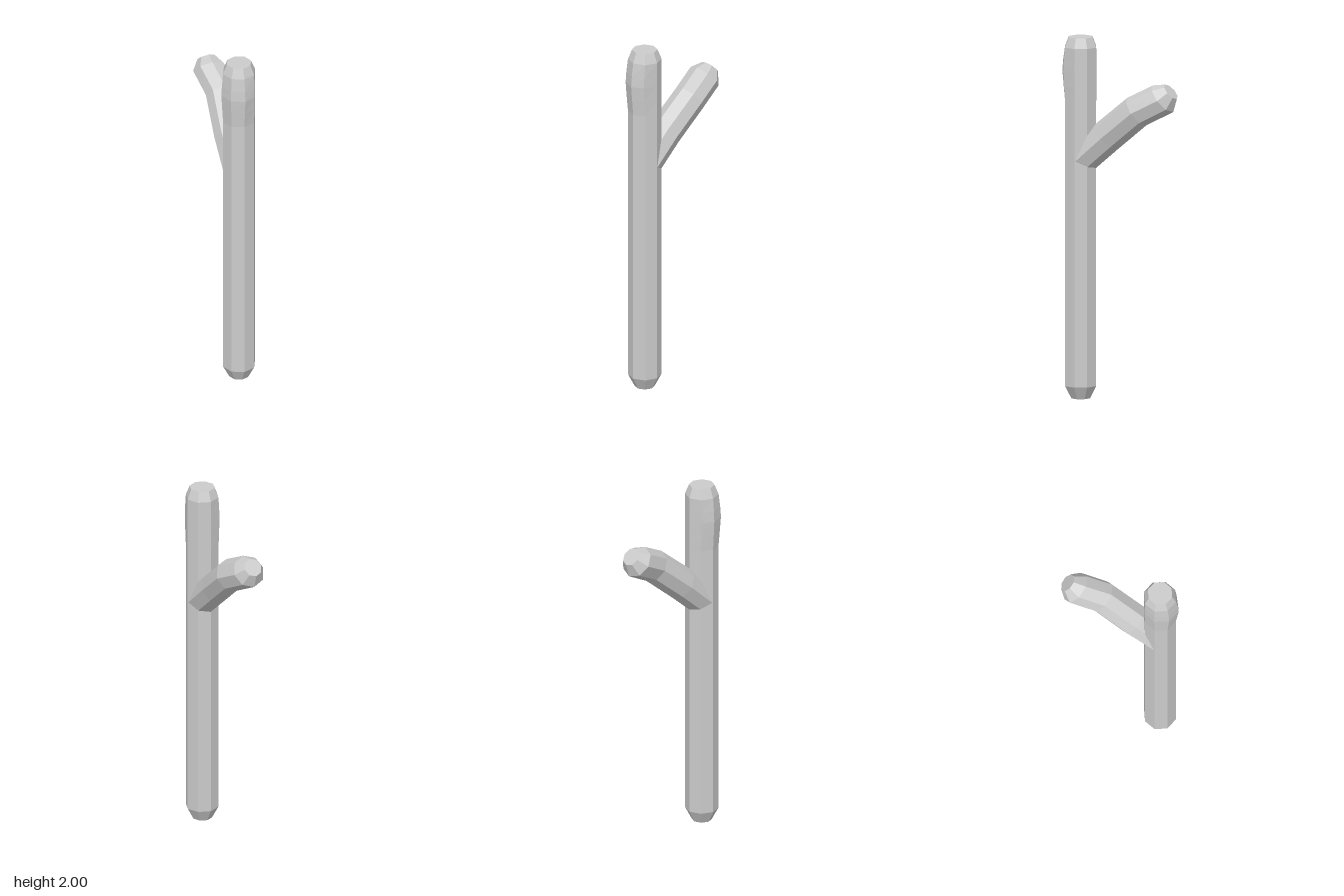
import * as THREE from 'three';

const SIDES = 8;

// Lofts flat-shaded, capped octagonal rings.
// ring = { x, y, z, r, tilt (lean towards -z), bulge (push towards front and -x) }
function loft(name, rings, material) {
  const points = rings.map(({ x, y, z, r, tilt = 0, bulge = 0 }) =>
    Array.from({ length: SIDES }, (_, i) => {
      const a = (i / SIDES) * Math.PI * 2;
      const c = Math.cos(a), s = Math.sin(a);
      return new THREE.Vector3(
        x + r * c - 0.6 * bulge * Math.max(0, -c),
        y - r * s * Math.sin(tilt),
        z - r * s * Math.cos(tilt) + bulge * Math.max(0, -s)
      );
    })
  );
  const centres = rings.map((k) => new THREE.Vector3(k.x, k.y, k.z));
  const last = rings.length - 1;
  const tris = [];
  for (let i = 0; i < SIDES; i++) {
    const j = (i + 1) % SIDES;
    for (let k = 0; k < last; k++) {
      const [a, b] = [points[k][i], points[k][j]];
      const [c, d] = [points[k + 1][j], points[k + 1][i]];
      tris.push(a, b, c, a, c, d);
    }
    tris.push(centres[0], points[0][j], points[0][i]);
    tris.push(centres[last], points[last][i], points[last][j]);
  }
  const geometry = new THREE.BufferGeometry().setFromPoints(tris);
  geometry.computeVertexNormals();
  const mesh = new THREE.Mesh(geometry, material);
  mesh.name = name;
  return mesh;
}

export function createModel() {
  const group = new THREE.Group();
  group.name = 'forkedStick';
  const material = new THREE.MeshStandardMaterial({ color: 0xcccccc, flatShading: true });

  // Upright stem with bevelled ends and a small knot near the top: height, radius, bulge
  const stem = [
    [0, 0.055, 0], [0.07, 0.092, 0], [1.64, 0.092, 0], [1.73, 0.092, 0.009],
    [1.81, 0.092, 0.016], [1.87, 0.092, 0.011], [1.945, 0.092, 0], [2, 0.07, 0],
  ].map(([y, r, bulge]) => ({ x: -0.005, y, z: 0.23, r, bulge }));
  group.add(loft('stem', stem, material));

  // Side branch rising towards the back, rooted inside the stem
  const branch = [
    { x: -0.005, y: 1.32, z: 0.228, r: 0.09, tilt: 0.85 },
    { x: -0.003, y: 1.457, z: 0.075, r: 0.093, tilt: 0.88 },
    { x: 0.012, y: 1.61, z: -0.11, r: 0.092, tilt: 0.93 },
    { x: -0.012, y: 1.686, z: -0.255, r: 0.092, tilt: 0.87 },
    { x: -0.012, y: 1.727, z: -0.3, r: 0.052, tilt: 0.83 },
  ];
  group.add(loft('branch', branch, material));

  return group;
}
